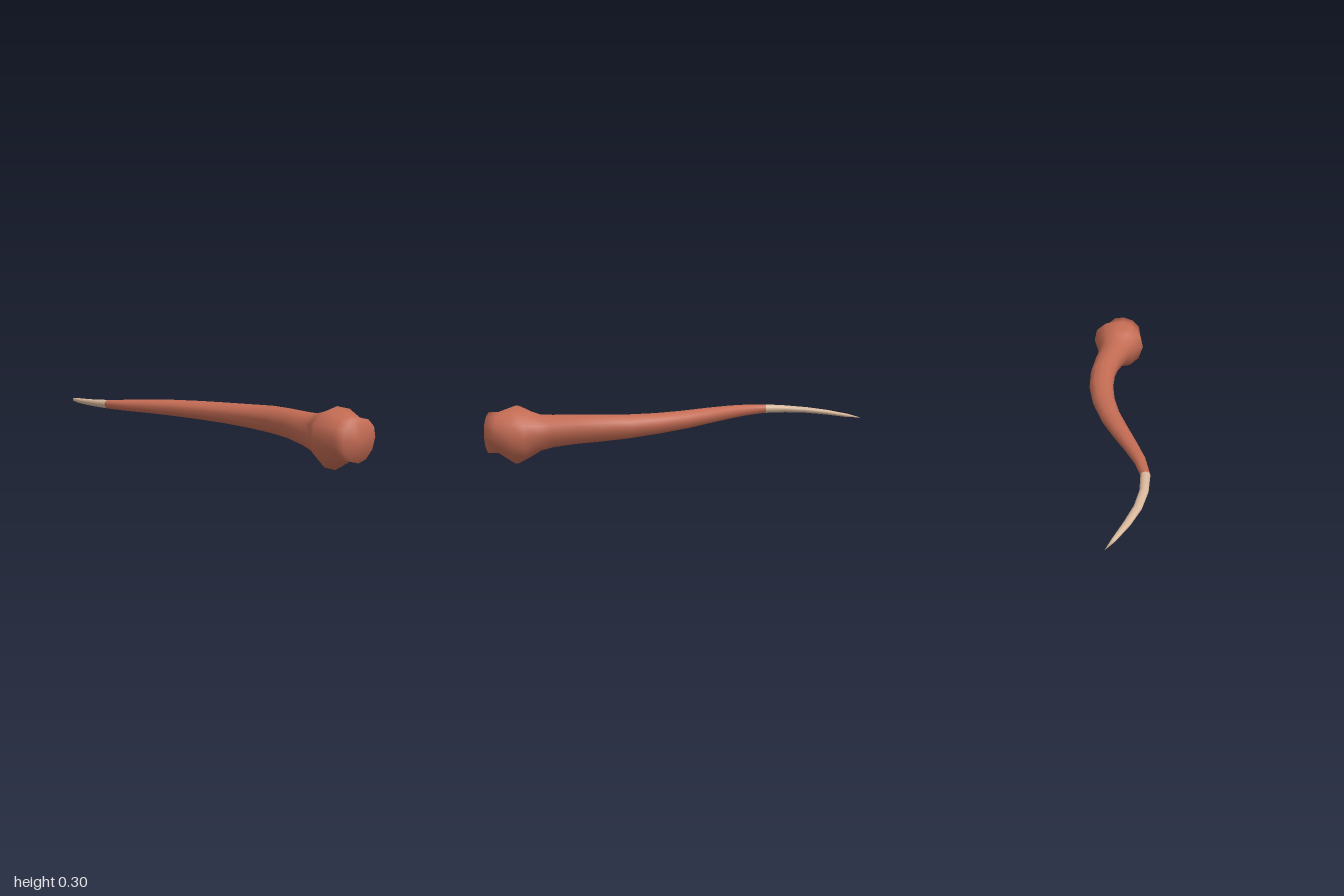
import * as THREE from 'three';

const SIDES = 12;

// Cross-sections from root to tip: left x, left z, right x, right z, bottom y, top y
const RINGS = [
  [-0.09, 0.95, 0.115, 0.995, 0.057, 0.268],
  [-0.085, 0.9, 0.125, 0.945, 0.057, 0.27],
  [-0.11, 0.8, 0.185, 0.87, 0.002, 0.304],
  [-0.065, 0.745, 0.16, 0.805, 0.035, 0.275],
  [-0.035, 0.7, 0.145, 0.735, 0.07, 0.256],
  [-0.015, 0.64, 0.147, 0.665, 0.088, 0.255],
  [0.015, 0.54, 0.16, 0.55, 0.105, 0.257],
  [0.035, 0.42, 0.173, 0.42, 0.116, 0.257],
  [0.037, 0.29, 0.167, 0.27, 0.126, 0.251],
  [0.021, 0.15, 0.135, 0.11, 0.138, 0.248],
  [-0.015, 0, 0.08, -0.045, 0.149, 0.247],
  [-0.065, -0.14, 0.015, -0.18, 0.16, 0.246],
  [-0.115, -0.27, -0.05, -0.3, 0.168, 0.242],
  [-0.16, -0.39, -0.105, -0.41, 0.174, 0.234],
  [-0.186, -0.51, -0.138, -0.51, 0.178, 0.226],
  [-0.18, -0.63, -0.137, -0.62, 0.178, 0.217],
  [-0.153, -0.745, -0.114, -0.73, 0.176, 0.208],
  [-0.108, -0.845, -0.075, -0.83, 0.171, 0.198],
  [-0.045, -0.945, -0.027, -0.935, 0.164, 0.183],
];
const CLAW_START = 14;

export function createModel() {
  const skin = new THREE.MeshStandardMaterial({ color: 0xc46c54 });
  skin.name = 'rust skin';
  const horn = new THREE.MeshStandardMaterial({ color: 0xd8b89c });
  horn.name = 'pale horn';

  const positions = [];
  const index = [];

  // Slightly egg-shaped rings, wider towards the top
  for (const [lx, lz, rx, rz, bottom, top] of RINGS) {
    const middle = bottom + (top - bottom) * 0.53;
    for (let i = 0; i < SIDES; i++) {
      const a = (i / SIDES) * Math.PI * 2;
      const s = Math.sin(a);
      const c = (Math.cos(a) * (1 + 0.08 * s)) / 2;
      positions.push(
        (lx + rx) / 2 + c * (rx - lx),
        middle + s * (s > 0 ? top - middle : middle - bottom),
        (lz + rz) / 2 + c * (rz - lz)
      );
    }
  }
  const root = positions.length / 3;
  positions.push(0.0125, 0.163, 0.9735);
  const tip = root + 1;
  positions.push(0, 0.168, -1);

  // Root cap
  for (let i = 0; i < SIDES; i++) index.push(root, i, (i + 1) % SIDES);

  // Tail and claw walls
  let clawIndex = 0;
  for (let r = 0; r < RINGS.length - 1; r++) {
    if (r === CLAW_START) clawIndex = index.length;
    for (let i = 0; i < SIDES; i++) {
      const a = r * SIDES + i;
      const b = r * SIDES + ((i + 1) % SIDES);
      index.push(a, a + SIDES, b, b, a + SIDES, b + SIDES);
    }
  }

  // Pointed tip
  const last = (RINGS.length - 1) * SIDES;
  for (let i = 0; i < SIDES; i++) index.push(last + i, tip, last + ((i + 1) % SIDES));

  const geometry = new THREE.BufferGeometry();
  geometry.setAttribute('position', new THREE.Float32BufferAttribute(positions, 3));
  geometry.setIndex(index);
  geometry.addGroup(0, clawIndex, 0);
  geometry.addGroup(clawIndex, index.length - clawIndex, 1);
  geometry.computeVertexNormals();

  const tail = new THREE.Mesh(geometry, [skin, horn]);
  tail.name = 'tailWithClaw';
  const group = new THREE.Group();
  group.name = 'tail';
  group.add(tail);
  return group;
}
